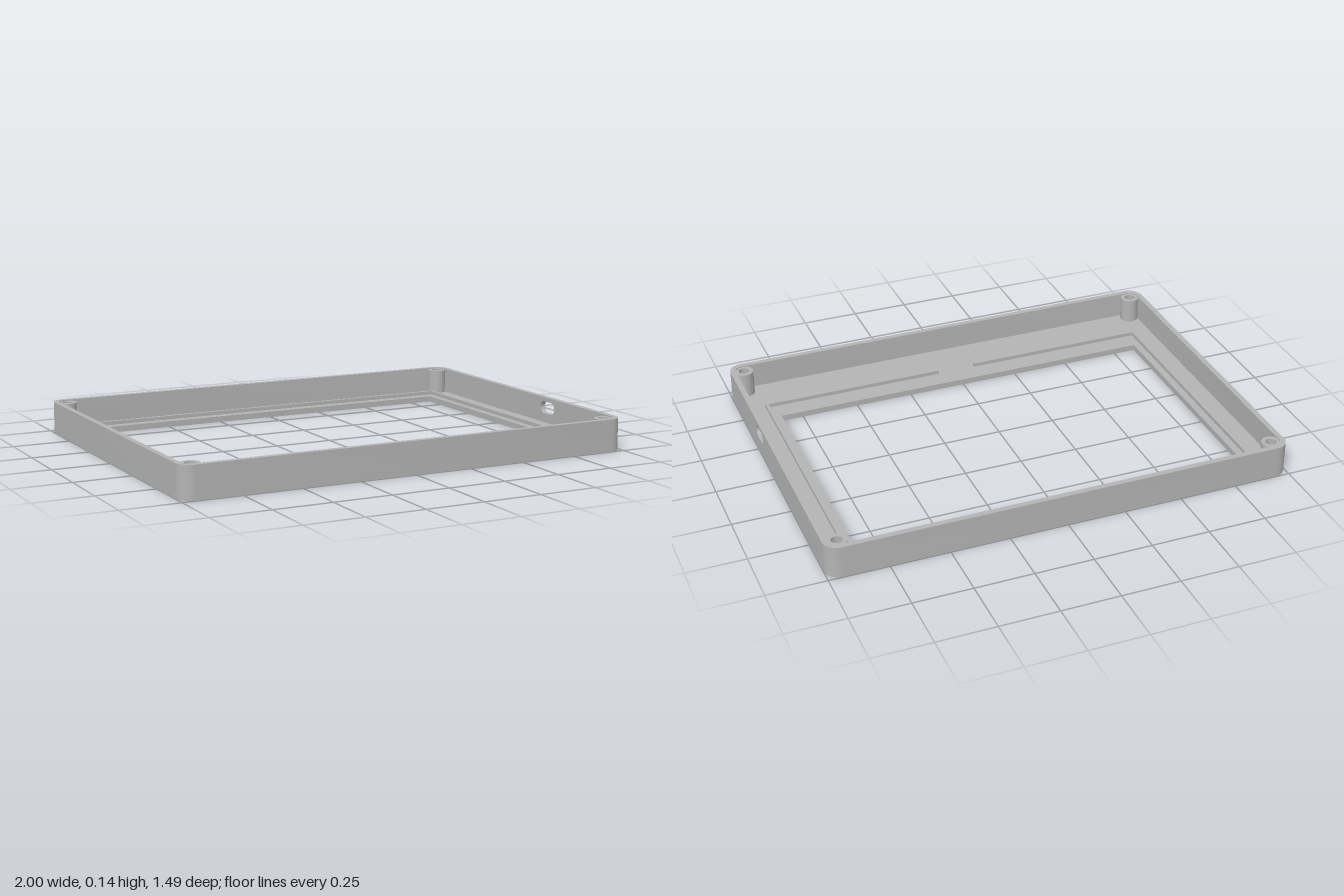
import * as THREE from 'three';
import { toCreasedNormals } from 'three/addons/utils/BufferGeometryUtils.js';

const X = 1, Z = 0.747, H = 0.138;      // half width, half depth, height
const WALL = 0.024, FLOOR = 0.026, R = 0.06;

export function createModel() {
  const model = new THREE.Group();
  const grey = new THREE.MeshStandardMaterial({ color: 0xb3b3b3 });
  grey.name = 'grey plastic';

  const add = (name, geometry) => {
    const mesh = new THREE.Mesh(toCreasedNormals(geometry, 0.5), grey);
    mesh.name = name;
    model.add(mesh);
  };

  // Plan shapes are drawn in (x, -z) and raised from y0 to y1
  const raise = (shape, y0, y1) =>
    new THREE.ExtrudeGeometry(shape, { depth: y1 - y0, bevelEnabled: false, curveSegments: 24 })
      .rotateX(-Math.PI / 2).translate(0, y0, 0);

  // Rounded-rectangle outline, counter-clockwise from (hx, a) round to (hx, b)
  const outline = (hx, hz, r, a, b) => {
    const pts = [new THREE.Vector2(hx, a)];
    [[1, 1], [-1, 1], [-1, -1], [1, -1]].forEach(([sx, sz], q) => {
      for (let i = 0; i <= 10; i++) {
        const t = (q + i / 10) * Math.PI / 2;
        pts.push(new THREE.Vector2(sx * (hx - r) + r * Math.cos(t), sz * (hz - r) + r * Math.sin(t)));
      }
    });
    pts.push(new THREE.Vector2(hx, b));
    return pts;
  };

  const rectPath = (x0, x1, z0, z1) => new THREE.Path([
    [x0, -z0], [x1, -z0], [x1, -z1], [x0, -z1],
  ].map(([x, y]) => new THREE.Vector2(x, y)));

  // Face plate with the screen opening
  const plate = new THREE.Shape(outline(X, Z, R, -0.1, -0.33));
  plate.holes.push(rectPath(-0.847, 0.847, -0.59, 0.433));
  add('facePlate', raise(plate, 0, FLOOR));

  // Side walls, left open where the port panel sits
  const outer = outline(X, Z, R, -0.1, -0.33);
  const inner = outline(X - WALL, Z - WALL, R - WALL, -0.1, -0.33).reverse();
  add('sideWalls', raise(new THREE.Shape([...outer, ...inner]), FLOOR, H));

  // Wall panel with the slot-shaped port
  const panel = new THREE.Shape();
  panel.moveTo(-0.33, FLOOR).lineTo(-0.1, FLOOR).lineTo(-0.1, H).lineTo(-0.33, H).closePath();
  const slot = new THREE.Path();
  const slotR = 0.027, slotY = 0.093;
  slot.absarc(-0.19, slotY, slotR, -Math.PI / 2, Math.PI / 2);
  slot.absarc(-0.242, slotY, slotR, Math.PI / 2, Math.PI * 1.5);
  slot.closePath();
  panel.holes.push(slot);
  add('portPanel', new THREE.ExtrudeGeometry(panel, { depth: WALL, bevelEnabled: false, curveSegments: 16 })
    .rotateY(Math.PI / 2).translate(X - WALL, 0, 0));

  // Hollow screw posts in the corners
  for (const sx of [-1, 1]) for (const sz of [-1, 1]) {
    const post = new THREE.Shape().absarc(sx * 0.94, sz * 0.687, 0.041, 0, Math.PI * 2);
    post.holes.push(new THREE.Path().absarc(sx * 0.94, sz * 0.687, 0.023, 0, Math.PI * 2));
    add('screwPost', raise(post, FLOOR, H - 0.004));
  }

  // Thin locating rib around the opening, with a gap at the front
  const ox = 0.893, ix = 0.879, back = -0.644, front = 0.535, t = 0.014, gap = 0.085;
  const rib = new THREE.Shape([
    [gap, front], [ox, front], [ox, back], [-ox, back], [-ox, front], [-gap, front],
    [-gap, front - t], [-ix, front - t], [-ix, back + t], [ix, back + t], [ix, front - t], [gap, front - t],
  ].map(([x, z]) => new THREE.Vector2(x, -z)));
  add('locatingRib', raise(rib, FLOOR, FLOOR + 0.016));

  return model;
}
